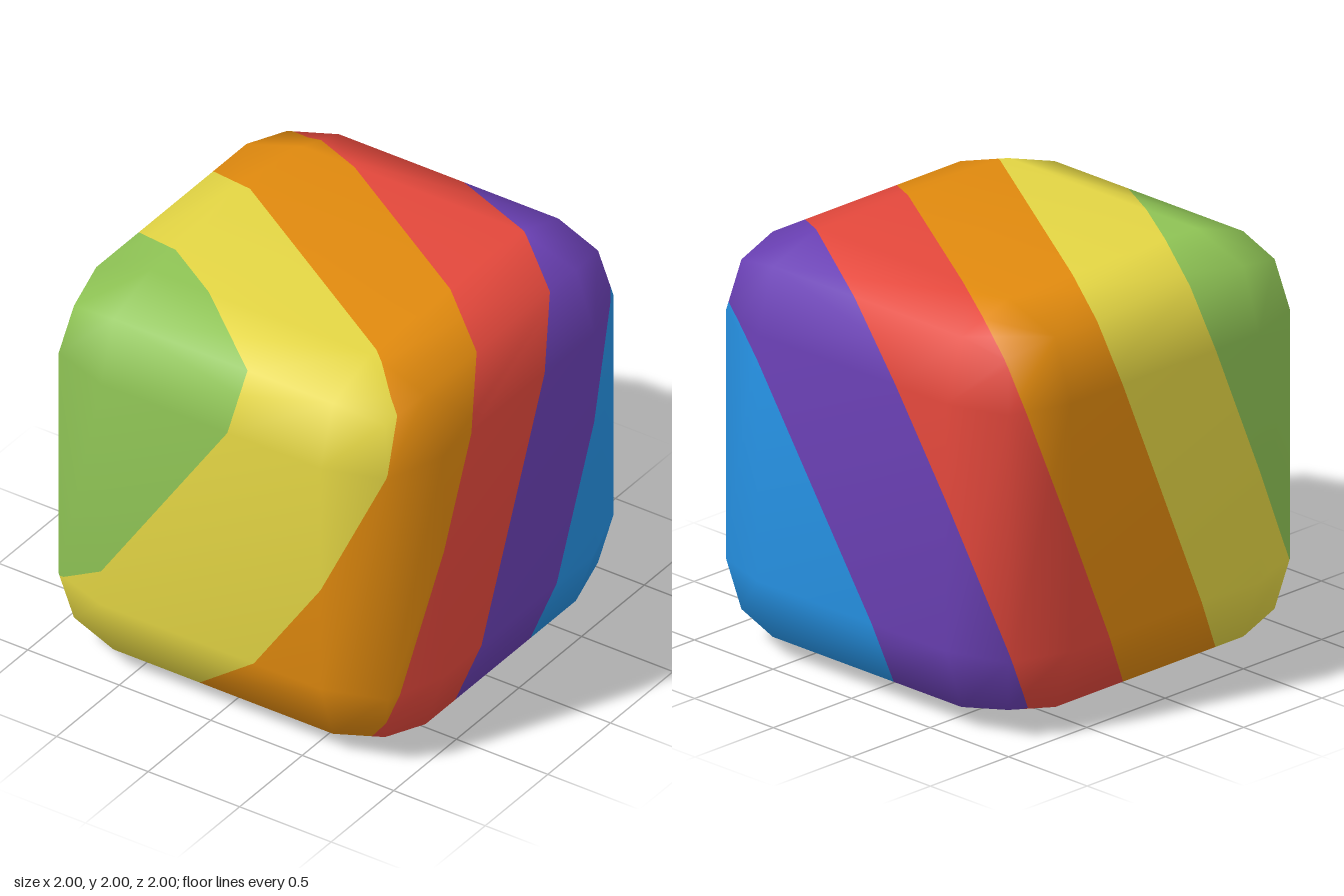
import * as THREE from 'three';
import { mergeVertices } from 'three/addons/utils/BufferGeometryUtils.js';

// Bands from the back lower right corner to the front upper left corner
const BANDS = [
  ['blue', 0x2692e4],
  ['purple', 0x6a40b4],
  ['red', 0xe4483c],
  ['orange', 0xe18a0e],
  ['yellow', 0xe4d644],
  ['green', 0x8fc455],
];
const CUTS = [-Infinity, -0.753, -0.153, 0.432, 1.022, 1.616, Infinity];
const AXIS = new THREE.Vector3(-0.62, 0.42, 1);

// Cube with two-step rounded edges and smooth normals
function roundedCube() {
  const box = new THREE.BoxGeometry(2, 2, 2, 3, 3, 3);
  box.deleteAttribute('uv');
  box.deleteAttribute('normal');
  const pos = box.attributes.position;
  for (let i = 0; i < pos.count; i++) {
    const p = [pos.getX(i), pos.getY(i), pos.getZ(i)];
    const outer = p.filter((v) => Math.abs(v) > 0.9).length;
    const reach = [0, 1, 0.9, 0.85][outer]; // face, edge or corner
    const q = p.map((v) => Math.sign(v) * (Math.abs(v) > 0.9 ? reach : 0.6));
    pos.setXYZ(i, q[0], q[1] + 1, q[2]);
  }
  const cube = mergeVertices(box);
  cube.computeVertexNormals();
  return cube.toNonIndexed();
}

// Keep the part of a polygon where side * (height - cut) >= 0
function clip(poly, cut, side) {
  if (!Number.isFinite(cut)) return poly;
  const out = [];
  poly.forEach((a, i) => {
    const b = poly[(i + 1) % poly.length];
    const da = side * (a.p.dot(AXIS) - cut);
    const db = side * (b.p.dot(AXIS) - cut);
    if (da >= 0) out.push(a);
    if (da >= 0 !== db >= 0) {
      const t = da / (da - db);
      out.push({ p: a.p.clone().lerp(b.p, t), n: a.n.clone().lerp(b.n, t) });
    }
  });
  return out;
}

// Slice of the cube between two parallel slanted planes
function bandGeometry(cube, low, high) {
  const { position, normal } = cube.attributes;
  const points = [];
  const normals = [];
  for (let i = 0; i < position.count; i += 3) {
    const tri = [0, 1, 2].map((k) => ({
      p: new THREE.Vector3().fromBufferAttribute(position, i + k),
      n: new THREE.Vector3().fromBufferAttribute(normal, i + k),
    }));
    const poly = clip(clip(tri, low, 1), high, -1);
    for (let k = 1; k + 1 < poly.length; k++) {
      for (const v of [poly[0], poly[k], poly[k + 1]]) {
        points.push(...v.p.toArray());
        normals.push(...v.n.clone().normalize().toArray());
      }
    }
  }
  const g = new THREE.BufferGeometry();
  g.setAttribute('position', new THREE.Float32BufferAttribute(points, 3));
  g.setAttribute('normal', new THREE.Float32BufferAttribute(normals, 3));
  return g;
}

export function createModel() {
  const group = new THREE.Group();
  group.name = 'stripedRoundedCube';
  const cube = roundedCube();
  BANDS.forEach(([name, color], i) => {
    const material = new THREE.MeshStandardMaterial({ color });
    material.name = name;
    const mesh = new THREE.Mesh(bandGeometry(cube, CUTS[i], CUTS[i + 1]), material);
    mesh.name = name + 'Band';
    group.add(mesh);
  });
  return group;
}
